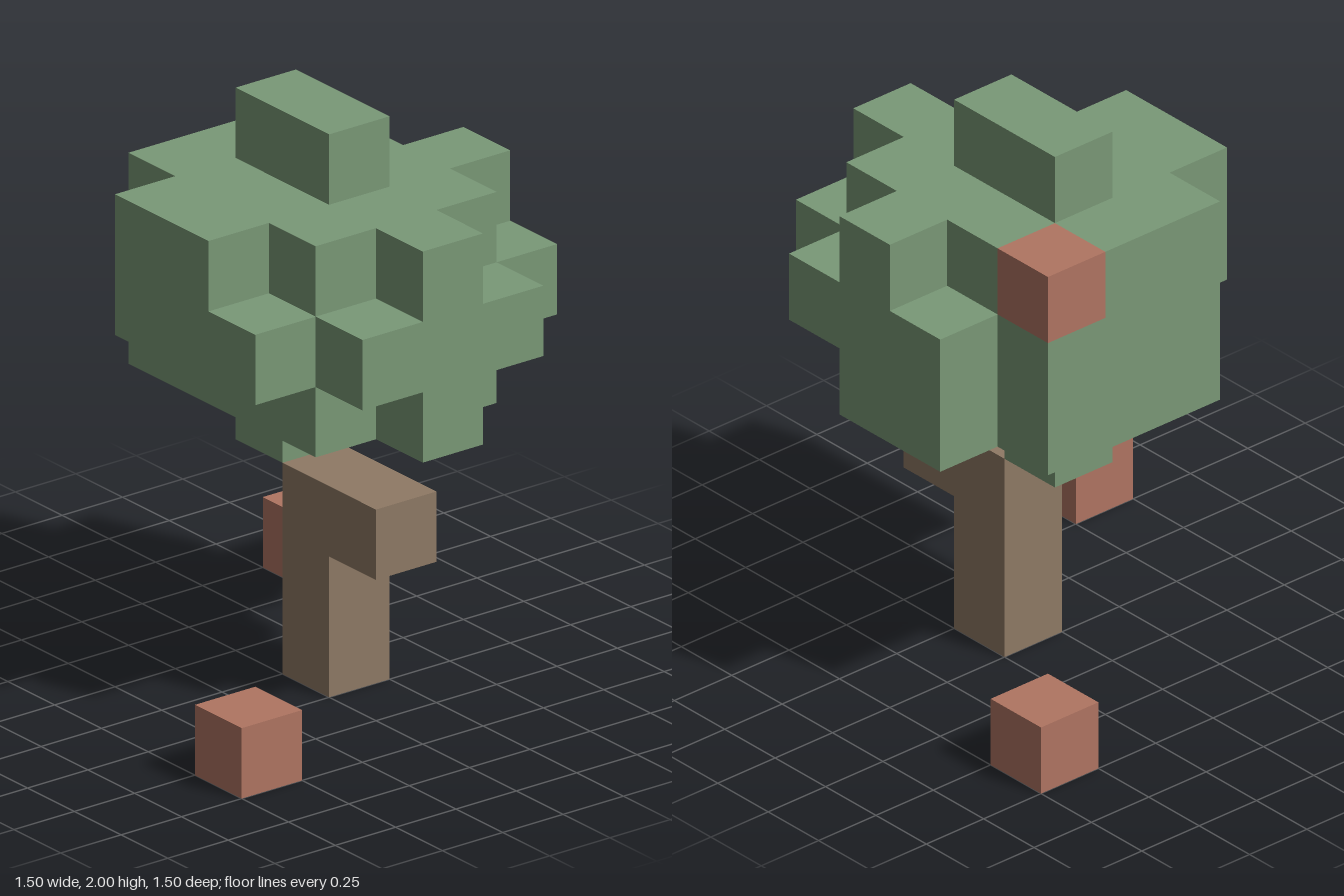
import * as THREE from 'three';

const U = 0.25; // size of one block

const leafGreen = new THREE.MeshStandardMaterial({ color: 0x7a9977, side: THREE.DoubleSide });
const barkBrown = new THREE.MeshStandardMaterial({ color: 0x8f7a65, side: THREE.DoubleSide });
const fruitRed = new THREE.MeshStandardMaterial({ color: 0xb07562, side: THREE.DoubleSide });
leafGreen.name = 'leaf green';
barkBrown.name = 'bark brown';
fruitRed.name = 'fruit red';

// Layers from the ground up; each row is one step in z (back to front),
// each letter one step in x: G leaf, B bark, R fruit
const LAYERS = [
  ['R.....', '......', '...B..', '......', '......', '.....R'],
  ['......', '......', '...B..'],
  ['......', '......', '...BB.'],
  ['......', '......', '..G...'],
  ['..GG..', '.GGGG.', '.GGGGG', '.GGGG.'],
  ['..GGG.', '.GGGGG', '.GGGGG', '.GGGGG', '..GGG.'],
  ['...G..', '.RGGG.', '.GGGGG', '.GGGG.', '..GG..'],
  ['......', '......', '..GG..'],
];
const block = (x, y, z) => LAYERS[y]?.[z]?.[x] ?? '.';

// Outward direction and the two in-plane axes of each drawn side (undersides are open)
const SIDES = [
  [[1, 0, 0], [0, 1, 0], [0, 0, 1]],
  [[-1, 0, 0], [0, 0, 1], [0, 1, 0]],
  [[0, 1, 0], [0, 0, 1], [1, 0, 0]],
  [[0, 0, 1], [1, 0, 0], [0, 1, 0]],
  [[0, 0, -1], [0, 1, 0], [1, 0, 0]],
];

// Skin of all blocks accepted by the filter, without faces between neighbours
function skin(name, letter, material, filter = () => true) {
  const pos = [], nor = [], index = [];
  for (let y = 0; y < 8; y++) for (let z = 0; z < 6; z++) for (let x = 0; x < 6; x++) {
    if (block(x, y, z) !== letter || !filter(x, y, z)) continue;
    for (const [n, u, v] of SIDES) {
      if (block(x + n[0], y + n[1], z + n[2]) !== '.') continue;
      const base = pos.length / 3;
      const centre = [x - 2.5, y + 0.5, z - 2.5];
      for (const [s, t] of [[-1, -1], [1, -1], [1, 1], [-1, 1]]) {
        for (let a = 0; a < 3; a++) pos.push(U * (centre[a] + (n[a] + s * u[a] + t * v[a]) / 2));
        nor.push(...n);
      }
      index.push(base, base + 1, base + 2, base, base + 2, base + 3);
    }
  }
  const geometry = new THREE.BufferGeometry();
  geometry.setAttribute('position', new THREE.Float32BufferAttribute(pos, 3));
  geometry.setAttribute('normal', new THREE.Float32BufferAttribute(nor, 3));
  geometry.setIndex(index);
  const mesh = new THREE.Mesh(geometry, material);
  mesh.name = name;
  return mesh;
}

export function createModel() {
  const tree = new THREE.Group();
  tree.name = 'fruitTree';
  tree.add(
    skin('trunk', 'B', barkBrown),
    skin('foliage', 'G', leafGreen),
    skin('hangingFruit', 'R', fruitRed, (x, y) => y > 0),
    skin('fallenFruitBack', 'R', fruitRed, (x, y, z) => y === 0 && z < 3),
    skin('fallenFruitFront', 'R', fruitRed, (x, y, z) => y === 0 && z > 3),
  );
  return tree;
}
